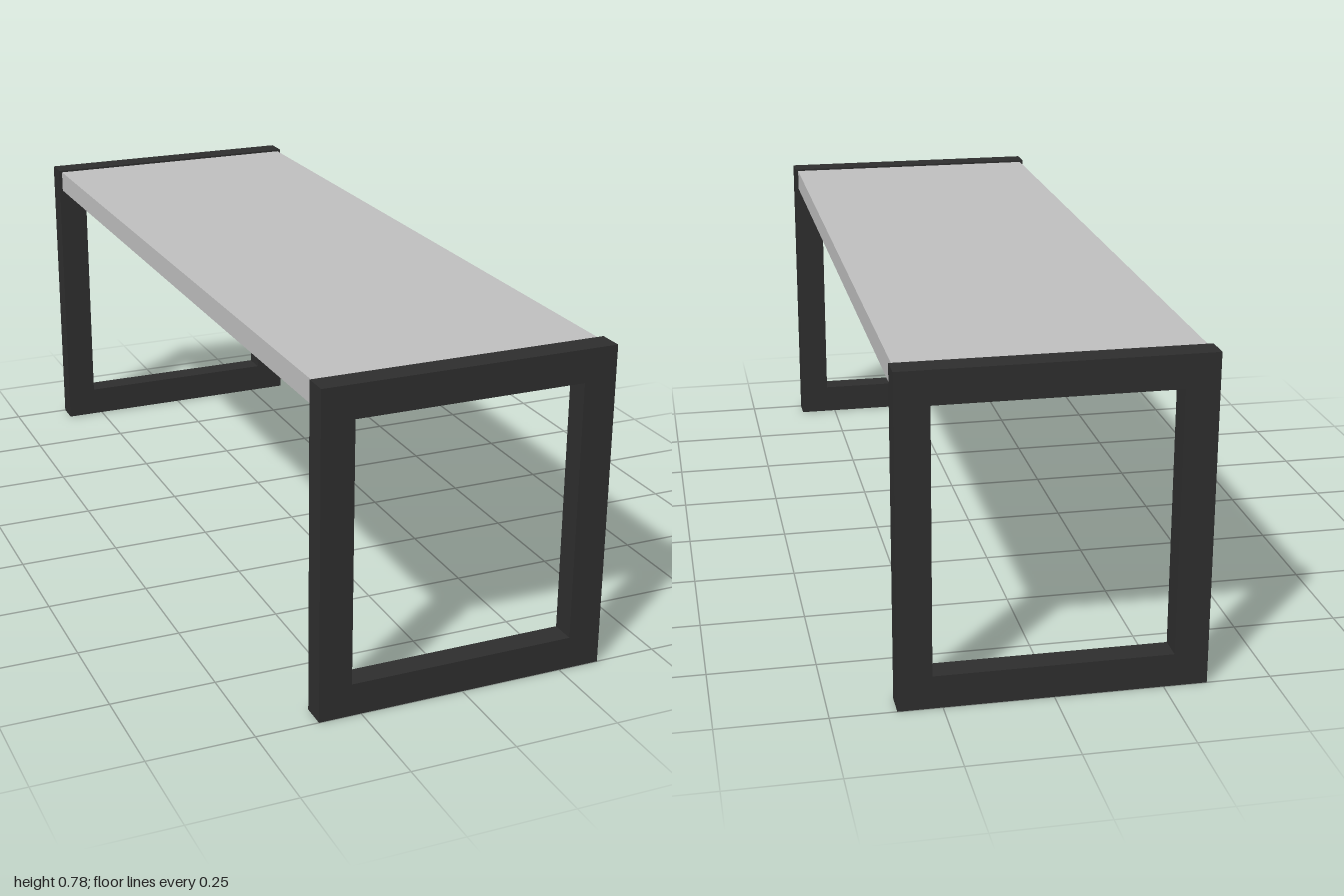
import * as THREE from 'three';

const WIDTH = 0.702, HEIGHT = 0.78, BAR = 0.078, DEPTH = 0.06;

export function createModel() {
  const model = new THREE.Group();
  model.name = 'bench';

  const frameMetal = new THREE.MeshStandardMaterial({ color: 0x2e2e2e });
  frameMetal.name = 'dark frame';
  const slabGrey = new THREE.MeshStandardMaterial({ color: 0xc0c0c0 });
  slabGrey.name = 'light grey slab';

  // Rectangular leg frame: outer outline with a rectangular opening
  const w = WIDTH / 2, iw = w - BAR;
  const outline = new THREE.Shape([
    new THREE.Vector2(-w, 0), new THREE.Vector2(w, 0),
    new THREE.Vector2(w, HEIGHT), new THREE.Vector2(-w, HEIGHT),
  ]);
  outline.holes.push(new THREE.Path([
    new THREE.Vector2(-iw, BAR), new THREE.Vector2(-iw, HEIGHT - BAR),
    new THREE.Vector2(iw, HEIGHT - BAR), new THREE.Vector2(iw, BAR),
  ]));
  const frameGeometry = new THREE.ExtrudeGeometry(outline, { depth: DEPTH, bevelEnabled: false });

  // One frame at each end
  for (const [name, z] of [['frontLegFrame', 1 - DEPTH], ['backLegFrame', -1]]) {
    const frame = new THREE.Mesh(frameGeometry, frameMetal);
    frame.name = name;
    frame.position.z = z;
    model.add(frame);
  }

  // Slab between the frames, slightly narrower and just below their tops
  const bottom = 0.72, top = 0.775;
  const slab = new THREE.Mesh(new THREE.BoxGeometry(0.686, top - bottom, 2 - 2 * DEPTH), slabGrey);
  slab.name = 'topSlab';
  slab.position.y = (top + bottom) / 2;
  model.add(slab);

  return model;
}
